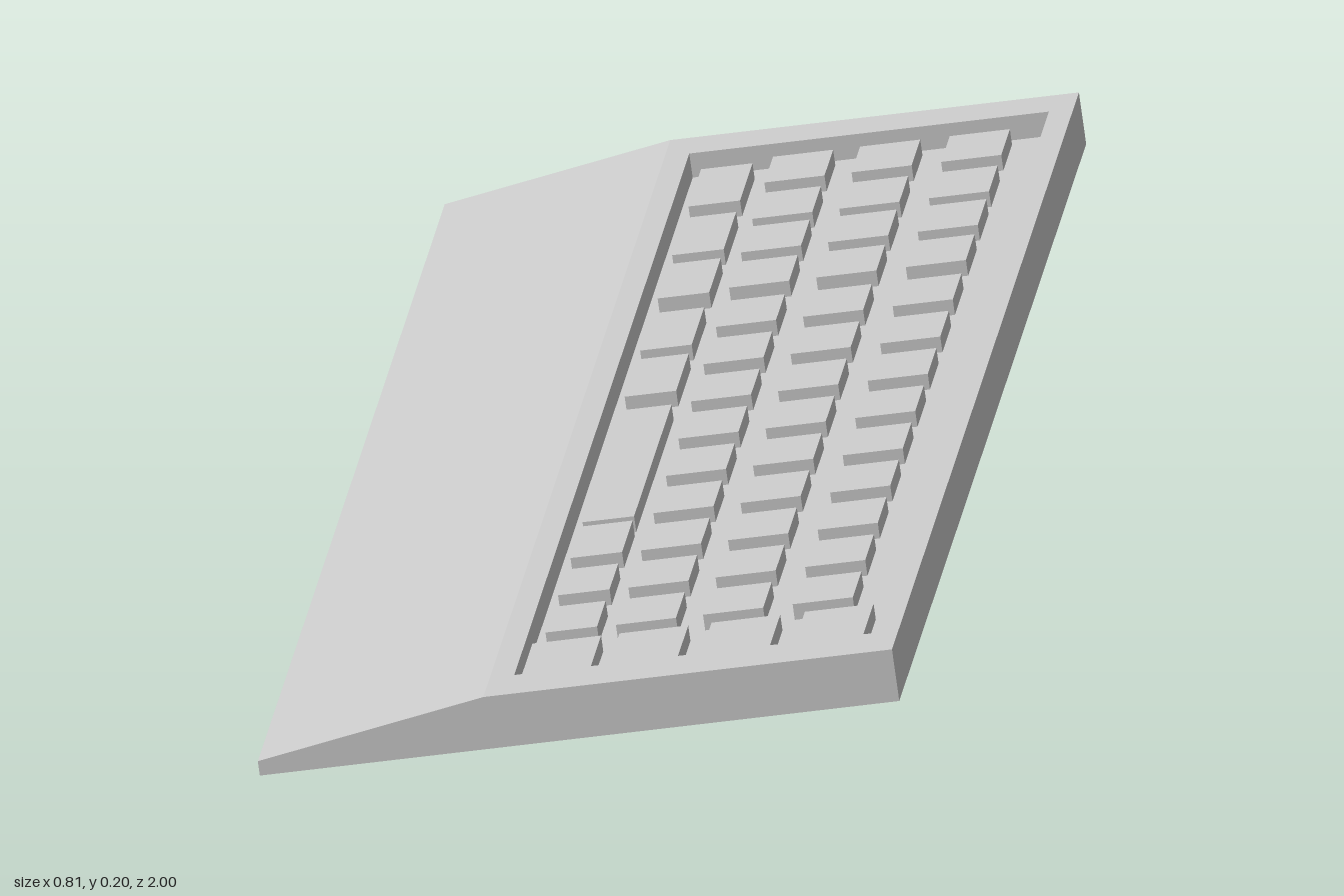
import * as THREE from 'three';
import { mergeGeometries } from 'three/addons/utils/BufferGeometryUtils.js';

const WIDTH = 0.521, LENGTH = 1.944;         // case, before tilting
const LIP = 0.012, RIDGE = 0.188, TOP = 0.043; // heights and ridge position
const WELL = { u0: 0.208, u1: 0.501, w0: 0.057, w1: 1.877, floor: 0.023 };

// Flat four-cornered panel, corners counterclockwise from its outer side
function panel(a, b, c, d) {
  const g = new THREE.BufferGeometry();
  g.setAttribute('position', new THREE.Float32BufferAttribute([a, b, c, a, c, d].flat(), 3));
  g.computeVertexNormals();
  return g;
}

export function createModel() {
  const model = new THREE.Group();
  model.name = 'keyboard';
  const shell = new THREE.MeshStandardMaterial({ color: 0xcccccc, side: THREE.DoubleSide });
  const solid = new THREE.MeshStandardMaterial({ color: 0xcccccc });
  const tilted = new THREE.Group();
  tilted.name = 'tiltedKeyboard';
  model.add(tilted);

  function add(name, geometry, material = shell) {
    const mesh = new THREE.Mesh(geometry, material);
    mesh.name = name;
    tilted.add(mesh);
  }

  // Case walls: front lip, sloping palm rest, back wall
  const strip = (u0, y0, u1, y1) =>
    panel([u0, y0, 0], [u0, y0, LENGTH], [u1, y1, LENGTH], [u1, y1, 0]);
  add('frontLip', strip(0, 0, 0, LIP));
  add('palmRest', strip(0, LIP, RIDGE, TOP));
  add('backWall', strip(WIDTH, TOP, WIDTH, 0));

  // End walls, the underside stays open
  for (const [name, z] of [['rightEndWall', 0], ['leftEndWall', LENGTH]]) {
    const pieces = [
      [[0, 0, z], [RIDGE, 0, z], [RIDGE, TOP, z], [0, LIP, z]],
      [[RIDGE, 0, z], [WIDTH, 0, z], [WIDTH, TOP, z], [RIDGE, TOP, z]],
    ].map((q) => panel(...(z ? q : q.reverse())));
    add(name, mergeGeometries(pieces));
  }

  // Top rim around the key well
  const { u0, u1, w0, w1, floor } = WELL;
  const loop = (pts) => pts.map(([u, w]) => new THREE.Vector2(u, -w));
  const rim = new THREE.Shape(loop([[RIDGE, 0], [RIDGE, LENGTH], [WIDTH, LENGTH], [WIDTH, 0]]));
  rim.holes.push(new THREE.Path(loop([[u0, w0], [u1, w0], [u1, w1], [u0, w1]])));
  add('topRim', new THREE.ShapeGeometry(rim).rotateX(-Math.PI / 2).translate(0, TOP, 0));

  // Key well
  const corners = [[u0, w1], [u0, w0], [u1, w0], [u1, w1]];
  add('wellWalls', mergeGeometries(corners.map(([pu, pw], i) => {
    const [qu, qw] = corners[(i + 1) % 4];
    return panel([pu, floor, pw], [qu, floor, qw], [qu, TOP, qw], [pu, TOP, pw]);
  })));
  add('keyPlate', panel([u0, floor, w0], [u0, floor, w1], [u1, floor, w1], [u1, floor, w0]));

  // Keys pass through the plate
  const KEY_LOW = 0.010, KEY_HIGH = 0.036;
  function key(name, u, w, width, length) {
    const g = new THREE.BoxGeometry(width, KEY_HIGH - KEY_LOW, length);
    add(name, g.translate(u, (KEY_LOW + KEY_HIGH) / 2, w), solid);
  }

  // Three regular rows of keys
  const stations = [0.118, 0.245, 0.362, 0.485];
  for (let i = 0; i < 9; i++) stations.push(0.622 + 0.13 * i);
  for (const u of [0.301, 0.372, 0.445]) {
    for (const w of stations) key('key', u, w, 0.049, 0.09);
  }

  // Front row with wide keys and the space bar
  const frontRow = [
    [0.153, 0.13], [0.323, 0.13], [0.479, 0.12], [0.656, 0.13], [0.817, 0.13],
    [1.125, 0.39], [1.39, 0.11], [1.53, 0.09], [1.66, 0.09],
  ];
  for (const [w, length] of frontRow) {
    key(length > 0.3 ? 'spaceBar' : 'frontRowKey', 0.24, w, 0.042, length);
  }

  // Larger keys at the left end
  for (const u of [0.239, 0.310, 0.385, 0.461]) key('endKey', u, 1.797, 0.056, 0.115);

  // Turn and tilt the whole keyboard
  const w = new THREE.Vector3(0.295, 0.085, 1.92).normalize();
  const n = w.clone().cross(new THREE.Vector3(0.51, 0.073, -0.08)).normalize();
  const u = n.clone().cross(w);
  tilted.applyMatrix4(new THREE.Matrix4().makeBasis(u, n, w).setPosition(-0.402, 0, -0.92));
  return model;
}
